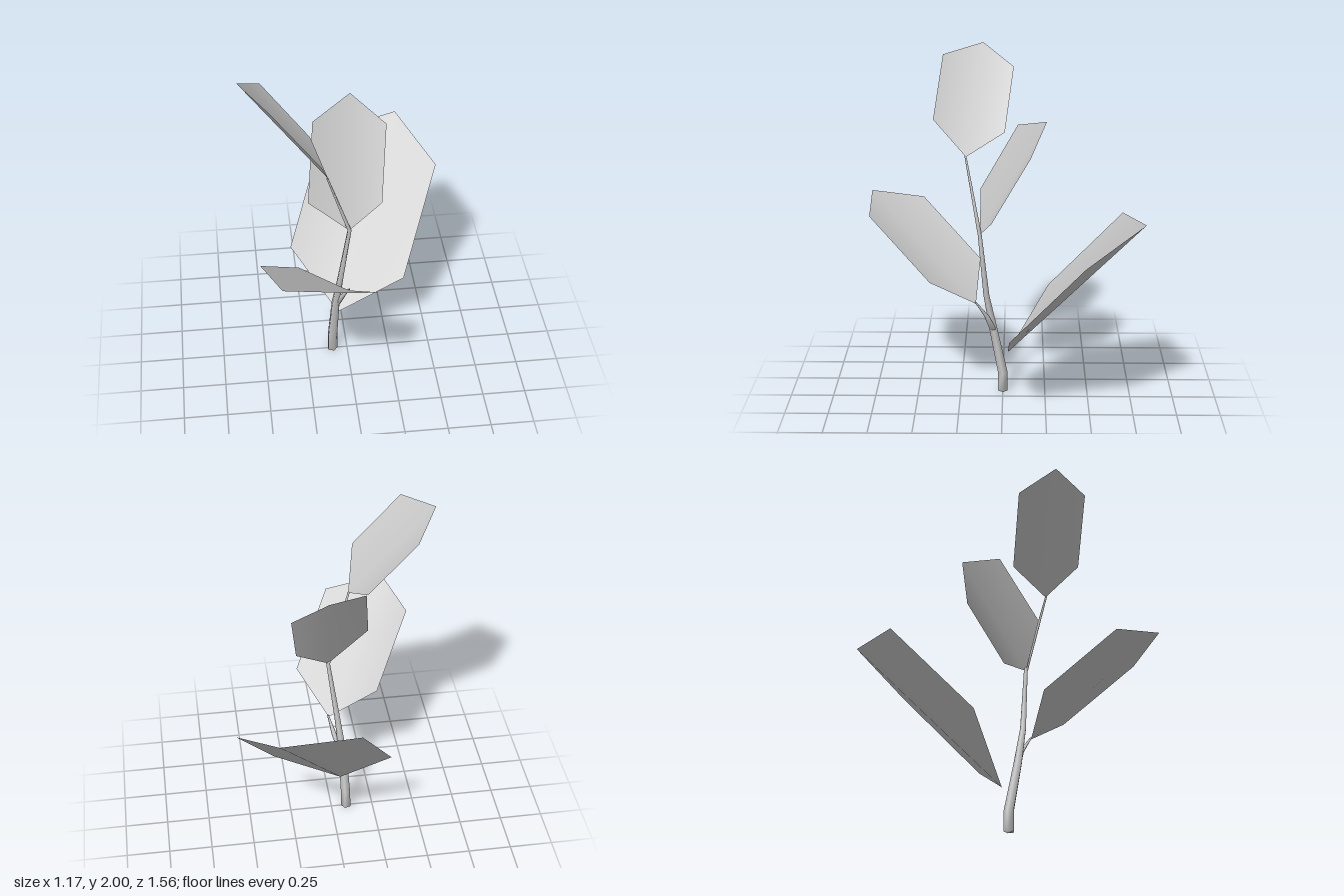
import * as THREE from 'three';

const stemMaterial = new THREE.MeshStandardMaterial({ color: 0xcccccc });
const leafMaterial = new THREE.MeshStandardMaterial({ color: 0xcccccc, side: THREE.DoubleSide });

function buildMesh(name, positions, index, material) {
  const geometry = new THREE.BufferGeometry();
  geometry.setAttribute('position', new THREE.Float32BufferAttribute(positions, 3));
  geometry.setIndex(index);
  geometry.computeVertexNormals();
  const mesh = new THREE.Mesh(geometry, material);
  mesh.name = name;
  return mesh;
}

// Tapered stem: a horizontal ring around each [x, y, z, radius], closed at both ends
function stem(name, path, sides = 5) {
  const positions = [], index = [];
  for (const [x, y, z, r] of path) {
    for (let j = 0; j < sides; j++) {
      const a = (j / sides) * Math.PI * 2;
      positions.push(x + r * Math.cos(a), y, z + r * Math.sin(a));
    }
  }
  for (let i = 0; i < path.length - 1; i++) {
    for (let j = 0; j < sides; j++) {
      const a = i * sides + j, b = i * sides + (j + 1) % sides;
      index.push(a, a + sides, b, b, a + sides, b + sides);
    }
  }
  const top = (path.length - 1) * sides;
  for (let j = 1; j < sides - 1; j++) {
    index.push(0, j, j + 1, top, top + j + 1, top + j);
  }
  return buildMesh(name, positions, index, stemMaterial);
}

// Six-cornered leaf, folded along the midrib from base (corner 0) to tip (corner 3)
function leaf(name, corners) {
  const index = [0, 1, 2, 0, 2, 3, 0, 3, 4, 0, 4, 5];
  return buildMesh(name, corners.flat(), index, leafMaterial);
}

export function createModel() {
  const plant = new THREE.Group();
  plant.name = 'plant';

  plant.add(stem('mainStem', [
    [-0.09, 0, 0, 0.031],
    [-0.088, 0.12, 0, 0.03],
    [-0.075, 0.4, 0.055, 0.025],
    [-0.05, 0.62, 0.095, 0.018],
    [0, 1.0, 0.13, 0.012],
    [-0.13, 1.43, 0.213, 0.006],
  ]));

  plant.add(stem('sideStem', [
    [-0.065, 0.4, 0.058, 0.02],
    [-0.032, 0.49, 0.09, 0.016],
    [-0.003, 0.59, 0.155, 0.006],
  ]));

  // Leaves, corners running base, one side, tip, other side
  plant.add(leaf('backLeaf', [
    [-0.05, 0.26, -0.03], [0.345, 0.48, -0.04], [0.585, 1.0, -0.45],
    [0.38, 1.18, -0.78], [-0.07, 1.115, -0.685], [-0.31, 0.59, -0.27],
  ]));
  plant.add(leaf('frontLeaf', [
    [-0.005, 0.58, 0.155], [0.153, 0.765, 0.41], [-0.075, 1.085, 0.765],
    [-0.42, 1.143, 0.78], [-0.52, 1.075, 0.48], [-0.29, 0.76, 0.135],
  ]));
  plant.add(leaf('upperLeaf', [
    [0, 1.0, 0.13], [0.193, 1.125, 0.06], [0.24, 1.51, -0.155],
    [0.045, 1.67, -0.245], [-0.18, 1.6, -0.085], [-0.23, 1.21, 0.13],
  ]));
  plant.add(leaf('topLeaf', [
    [-0.125, 1.425, 0.21], [-0.175, 1.63, 0.397], [-0.435, 1.955, 0.35],
    [-0.585, 2.0, 0.12], [-0.46, 1.88, -0.06], [-0.2, 1.55, -0.01],
  ]));

  return plant;
}
